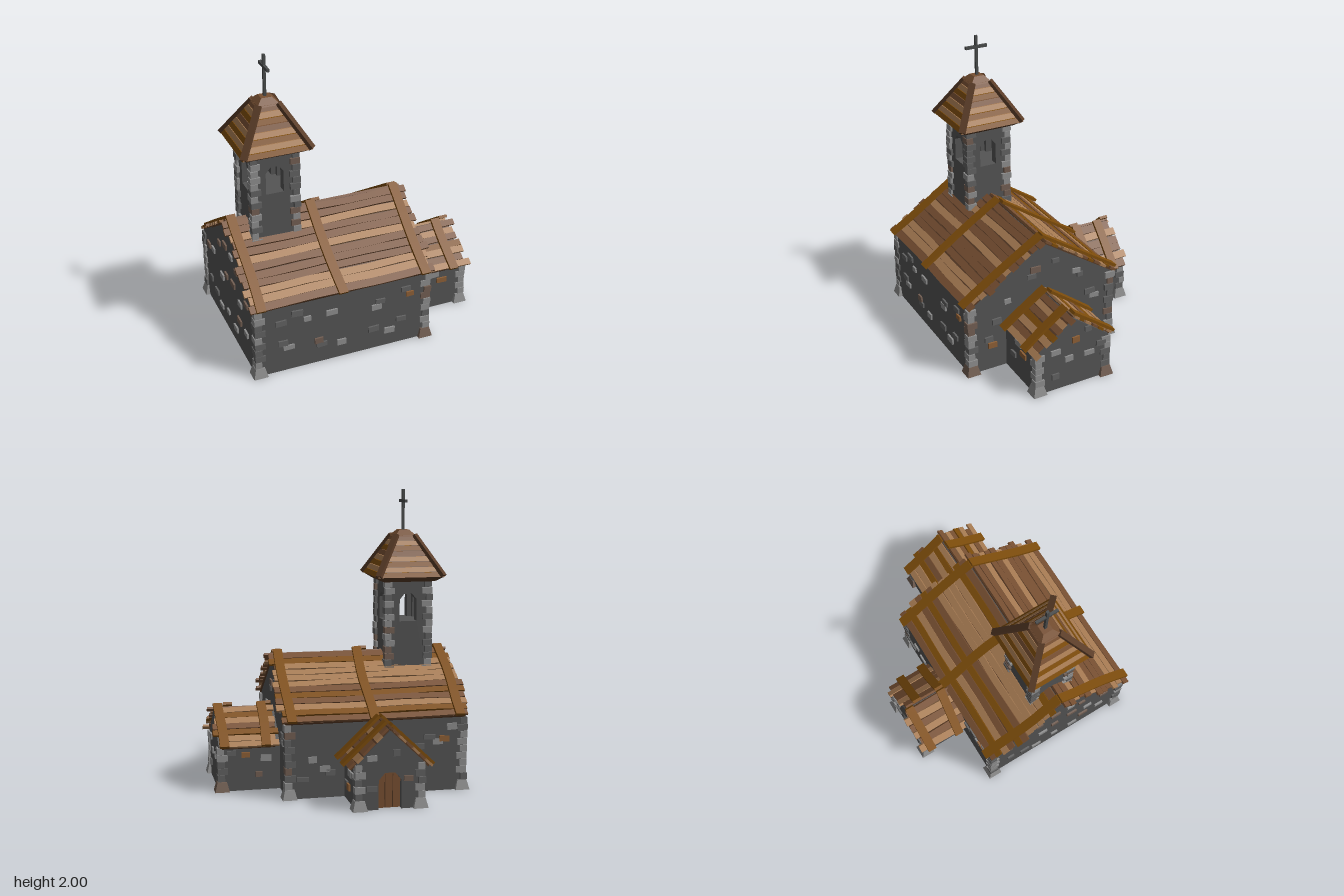
import * as THREE from 'three';

const mat = (name, color) => Object.assign(new THREE.MeshStandardMaterial({ color }), { name });
const M = {
  wall: mat('wall grey', 0x545454),
  l: mat('light stone', 0x8e8e8e),
  m: mat('mid stone', 0x626262),
  b: mat('brown stone', 0x735f53),
  o: mat('orange stone', 0x8f6036),
  L: mat('light wood', 0xa87c53),
  W: mat('brown wood', 0x785032),
  G: mat('golden wood', 0x7e4d0b),
  D: mat('dark wood', 0x5a3c27),
  iron: mat('iron', 0x494b4b),
};

let seed = 7;
const rnd = (a = 0, b = 1) => {
  seed = (seed * 16807) % 2147483647;
  return a + (b - a) * (seed / 2147483647);
};
const pick = (s) => s[Math.floor(rnd(0, s.length * 0.9999))];

function add(parent, name, geo, material, x = 0, y = 0, z = 0) {
  const mesh = new THREE.Mesh(geo, material);
  mesh.name = name;
  mesh.position.set(x, y, z);
  parent.add(mesh);
  return mesh;
}
const group = (parent, name) => {
  const g = new THREE.Group();
  g.name = name;
  parent.add(g);
  return g;
};
const box = (w, h, d) => new THREE.BoxGeometry(w, h, d);
const flat = (g) => {
  const f = g.toNonIndexed();
  f.computeVertexNormals();
  return f;
};
// square frustum given by half widths
const frustum = (top, bottom, h) =>
  flat(new THREE.CylinderGeometry(top * Math.SQRT2, bottom * Math.SQRT2, h, 4).rotateY(Math.PI / 4));
// board along x, bent sideways in z
function board(len, thick, width, bend) {
  const g = new THREE.BoxGeometry(len, thick, width, 6, 1, 1);
  const p = g.attributes.position, k = rnd(5, 9), phase = rnd(0, 6);
  for (let i = 0; i < p.count; i++) p.setZ(i, p.getZ(i) + bend * Math.sin(p.getX(i) * k + phase));
  return flat(g);
}
const extrude = (shape, depth) => new THREE.ExtrudeGeometry(shape, { depth, bevelEnabled: false });
// arched outline with a clipped top
const archPoints = (w, y0, y1) => [[w, y0], [w, y1 - w * 0.65], [w * 0.45, y1], [-w * 0.45, y1], [-w, y1 - w * 0.65], [-w, y0]]
  .map(([x, y]) => new THREE.Vector2(x, y));
// gable outline, optionally with a doorway cut from its foot
function gable(half, eave, peak, door = []) {
  return new THREE.Shape([
    new THREE.Vector2(-half, 0), ...[...door].reverse(), new THREE.Vector2(half, 0),
    new THREE.Vector2(half, eave), new THREE.Vector2(0, peak), new THREE.Vector2(-half, eave)]);
}

// stacked corner stones, with an optional flared foot of the given colour
function quoins(parent, x, z, sx, sz, y0, y1, foot) {
  const g = group(parent, 'cornerStones');
  if (foot) {
    add(g, 'cornerFoot', frustum(0.032, 0.049, 0.066), M[foot], x - sx * 0.02, 0.033, z - sz * 0.02);
    y0 = 0.066;
  }
  const n = Math.round((y1 - y0) / 0.046), h = (y1 - y0) / n;
  for (let i = 0; i < n; i++) {
    const a = (i % 2 ? 0.068 : 0.048) + rnd(-0.005, 0.005);
    const b = (i % 2 ? 0.048 : 0.068) + rnd(-0.005, 0.005);
    const out = rnd(0.008, 0.015);
    add(g, 'cornerStone', box(a, h - 0.004, b), M[pick('lllllmmmmb')],
      x + sx * (out - a / 2), y0 + (i + 0.5) * h, z + sz * (out - b / 2));
  }
}

// stones set in a wall: rows of [u, y, colour]; angle turns the wall face away from +z
function wallStones(parent, list, angle, dist) {
  const g = group(parent, 'wallStones');
  g.rotation.y = angle;
  for (const [u, y, c] of list) {
    const s = add(g, 'wallStone', box(rnd(0.045, 0.08), rnd(0.032, 0.044), 0.024), M[c], u, y, dist);
    s.rotation.z = rnd(-0.07, 0.07);
  }
}
const scatter = (n, u0, u1, y0, y1) =>
  Array.from({ length: n }, (_, i) => [u0 + (u1 - u0) * ((i + rnd(0.2, 0.8)) / n), rnd(y0, y1), pick('lllmmmbo')]);

// one roof slope running down local +z from the ridge
function slope(parent, side, x0, x1, run, drop, colours, battens) {
  const turn = group(parent, 'roofSlope');
  turn.rotation.y = side > 0 ? 0 : Math.PI;
  const g = group(turn, 'slopeBoards');
  g.rotation.x = Math.atan2(drop, run);
  const len = Math.hypot(run, drop), mid = side * (x0 + x1) / 2, row = len / colours.length;
  add(g, 'underlay', box(x1 - x0 - 0.06, 0.014, len - 0.01), M.D, mid, 0, len / 2);
  [...colours].forEach((c, i) => {
    const plank = add(g, 'plank', board(x1 - x0 + rnd(-0.045, 0.03), 0.016, row - rnd(0.001, 0.008), 0.004), M[c],
      mid + rnd(-0.015, 0.015), 0.014 + rnd(-0.002, 0.003), (i + 0.5) * row);
    plank.rotation.y = rnd(-0.004, 0.004);
  });
  for (const x of battens) {
    const b = add(g, 'batten', board(len + 0.03, 0.02, 0.062, 0.007).rotateY(Math.PI / 2), M.G, side * x, 0.032, len / 2 - 0.004);
    b.rotation.y = rnd(-0.015, 0.015);
  }
}

export function createModel() {
  const root = new THREE.Group();
  root.name = 'chapel';
  const Z = 0.17, Q = Math.PI / 2;

  // main hall
  const hall = group(root, 'hall');
  add(hall, 'hallWalls', extrude(gable(0.545, 0.508, 0.866), 1.215).rotateY(Q), M.wall, -0.82, 0, Z);
  for (const [x, sx, sz, foot] of [[-0.82, -1, 1, 'l'], [-0.82, -1, -1, 'l'], [0.4, 1, 1, 'b'], [0.4, 1, -1, 'l']])
    quoins(hall, x, Z + sz * 0.545, sx, sz, 0, 0.5, foot);
  const hallRoof = group(hall, 'hallRoof');
  hallRoof.position.set(0, 0.867, Z);
  slope(hallRoof, 1, -0.85, 0.435, 0.555, 0.365, 'WWLWWLWWWLLW', [-0.785, -0.235, 0.365]);
  slope(hallRoof, -1, -0.85, 0.435, 0.555, 0.365, 'WGLLLLWGWLGW', [-0.785, -0.185, 0.365]);
  wallStones(hall, [[-0.65, 0.38, 'm'], [-0.47, 0.37, 'l'], [-0.3, 0.375, 'l'], [0.02, 0.33, 'l'], [0.045, 0.37, 'm'],
    [0.23, 0.42, 'm'], [0.26, 0.375, 'o'], [-0.64, 0.22, 'm'], [-0.6, 0.18, 'l'], [-0.39, 0.175, 'b'], [-0.37, 0.14, 'm'],
    [-0.23, 0.12, 'l'], [0, 0.16, 'm'], [0.115, 0.12, 'l'], [0.2, 0.19, 'm'], [-0.54, 0.43, 'm']], 0, 0.715);
  wallStones(hall, [[-0.43, 0.49, 'l'], [-0.22, 0.67, 'b'], [-0.07, 0.7, 'm'], [-0.25, 0.625, 'm'], [0.09, 0.58, 'l'],
    [0.12, 0.545, 'm'], [-0.57, 0.235, 'm'], [-0.545, 0.185, 'o'], [-0.51, 0.36, 'm'], [0.2, 0.39, 'm'], [0.235, 0.35, 'l']], Q, 0.395);
  wallStones(hall, [...scatter(7, -0.3, 0.64, 0.1, 0.26), ...scatter(7, -0.3, 0.64, 0.3, 0.48),
    ...scatter(4, -0.06, 0.4, 0.54, 0.7)], -Q, 0.82);
  wallStones(hall, [...scatter(4, -0.32, -0.06, 0.1, 0.45), ...scatter(5, 0.48, 0.75, 0.1, 0.45)], Math.PI, 0.375);

  // side annex
  const annex = group(root, 'annex');
  add(annex, 'annexWalls', extrude(gable(0.27, 0.308, 0.506), 0.45).rotateY(Q), M.wall, 0.36, 0, Z);
  for (const sz of [-1, 1]) quoins(annex, 0.81, Z + sz * 0.27, 1, sz, 0, 0.3, sz > 0 ? 'l' : 'b');
  const annexRoof = group(annex, 'annexRoof');
  annexRoof.position.set(0, 0.507, Z);
  slope(annexRoof, 1, 0.4, 0.84, 0.29, 0.213, 'WLWGLWL', [0.44, 0.717]);
  slope(annexRoof, -1, 0.4, 0.82, 0.29, 0.213, 'LGLWGLL', [0.49, 0.78]);
  wallStones(annex, [[0.51, 0.15, 'm'], [0.645, 0.215, 'o'], [0.58, 0.27, 'l']], 0, 0.44);
  wallStones(annex, [[-0.15, 0.345, 'o'], [-0.3, 0.29, 'l'], [-0.05, 0.215, 'l'], [-0.2, 0.215, 'l'],
    [0.04, 0.26, 'm'], [-0.3, 0.105, 'm'], [-0.06, 0.4, 'm']], Q, 0.81);
  wallStones(annex, scatter(4, -0.74, -0.45, 0.1, 0.27), Math.PI, 0.1);

  // rear porch with recessed door
  const porch = group(root, 'porch'), PX = -0.21;
  add(porch, 'porchWalls', extrude(gable(0.22, 0.305, 0.514), 0.345), M.wall, PX, 0, -0.675);
  add(porch, 'doorWall', extrude(gable(0.22, 0.305, 0.514, archPoints(0.075, 0, 0.24)), 0.04), M.wall, PX, 0, -0.715);
  add(porch, 'door', extrude(new THREE.Shape(archPoints(0.075, 0.002, 0.24)), 0.009), M.W, PX, 0, -0.684);
  for (const x of [-0.025, 0.025]) add(porch, 'doorGap', box(0.005, 0.22, 0.004), M.D, PX + x, 0.115, -0.685);
  for (const sx of [-1, 1]) quoins(porch, PX + sx * 0.22, -0.715, sx, -1, 0, 0.3, 'l');
  const porchRoof = group(porch, 'porchRoof');
  porchRoof.position.set(PX, 0.515, 0);
  porchRoof.rotation.y = Q;
  slope(porchRoof, 1, 0.34, 0.735, 0.262, 0.25, 'WLWWLW', [0.435, 0.61]);
  slope(porchRoof, -1, 0.34, 0.735, 0.262, 0.25, 'WLWLWL', [0.445, 0.685]);
  wallStones(porch, [[0.09, 0.34, 'l'], [0.25, 0.37, 'm'], [0.33, 0.2, 'b'], [0.09, 0.14, 'm']], Math.PI, 0.715);
  wallStones(porch, scatter(4, 0.42, 0.64, 0.1, 0.27), Q, 0.01);
  wallStones(porch, scatter(4, -0.64, -0.42, 0.1, 0.27), -Q, 0.43);

  // bell tower, open on four sides
  const tower = group(root, 'tower');
  tower.position.set(-0.527, 0, Z);
  for (let i = 0; i < 4; i++) {
    const w = i % 2 ? 0.09 : 0.15;
    const side = new THREE.Shape([[-w, 0.6], [w, 0.6], [w, 1.39], [-w, 1.39]].map(([x, y]) => new THREE.Vector2(x, y)));
    side.holes.push(new THREE.Path(archPoints(0.06, 1.1, 1.29)));
    add(tower, 'towerWall', extrude(side, 0.06).translate(0, 0, 0.09), M.wall).rotation.y = i * Q;
  }
  add(tower, 'belfryFloor', box(0.18, 0.02, 0.18), M.wall, 0, 1.09, 0);
  for (const sx of [-1, 1]) for (const sz of [-1, 1]) quoins(tower, sx * 0.156, sz * 0.156, sx, sz, 0.7, 1.38);

  // tower roof: tapering courses, hip beams and cap
  const spire = group(tower, 'towerRoof');
  add(spire, 'roofUnderside', frustum(0.232, 0.18, 0.035), M.D, 0, 1.393, 0);
  add(spire, 'roofCore', frustum(0.06, 0.225, 0.28), M.D, 0, 1.55, 0);
  [...'GLGLWGLW'].forEach((c, i) => {
    const h = 0.28 / 8, r = (t) => 0.235 - 0.165 * t / 8;
    add(spire, 'roofCourse', frustum(r(i + 0.9), r(i), h * 0.9), M[c], 0, 1.41 + (i + 0.45) * h, 0);
  });
  for (const sx of [-1, 1]) for (const sz of [-1, 1]) {
    const a = new THREE.Vector3(sx * 0.226, 1.418, sz * 0.226), b = new THREE.Vector3(sx * 0.066, 1.682, sz * 0.066);
    const hip = add(spire, 'hipBeam', box(0.042, 0.03, a.distanceTo(b) + 0.01), M.D);
    hip.position.copy(a).lerp(b, 0.5);
    hip.quaternion.setFromRotationMatrix(new THREE.Matrix4().lookAt(b, a, new THREE.Vector3(0, 1, 0)));
  }
  add(spire, 'roofCap', frustum(0.035, 0.08, 0.044), M.W, 0, 1.7, 0);

  // cross
  const cross = group(tower, 'cross');
  add(cross, 'crossPost', box(0.018, 0.29, 0.018), M.iron, 0, 1.855, 0);
  add(cross, 'crossArm', box(0.018, 0.02, 0.16), M.iron, 0, 1.92, 0);
  return root;
}
